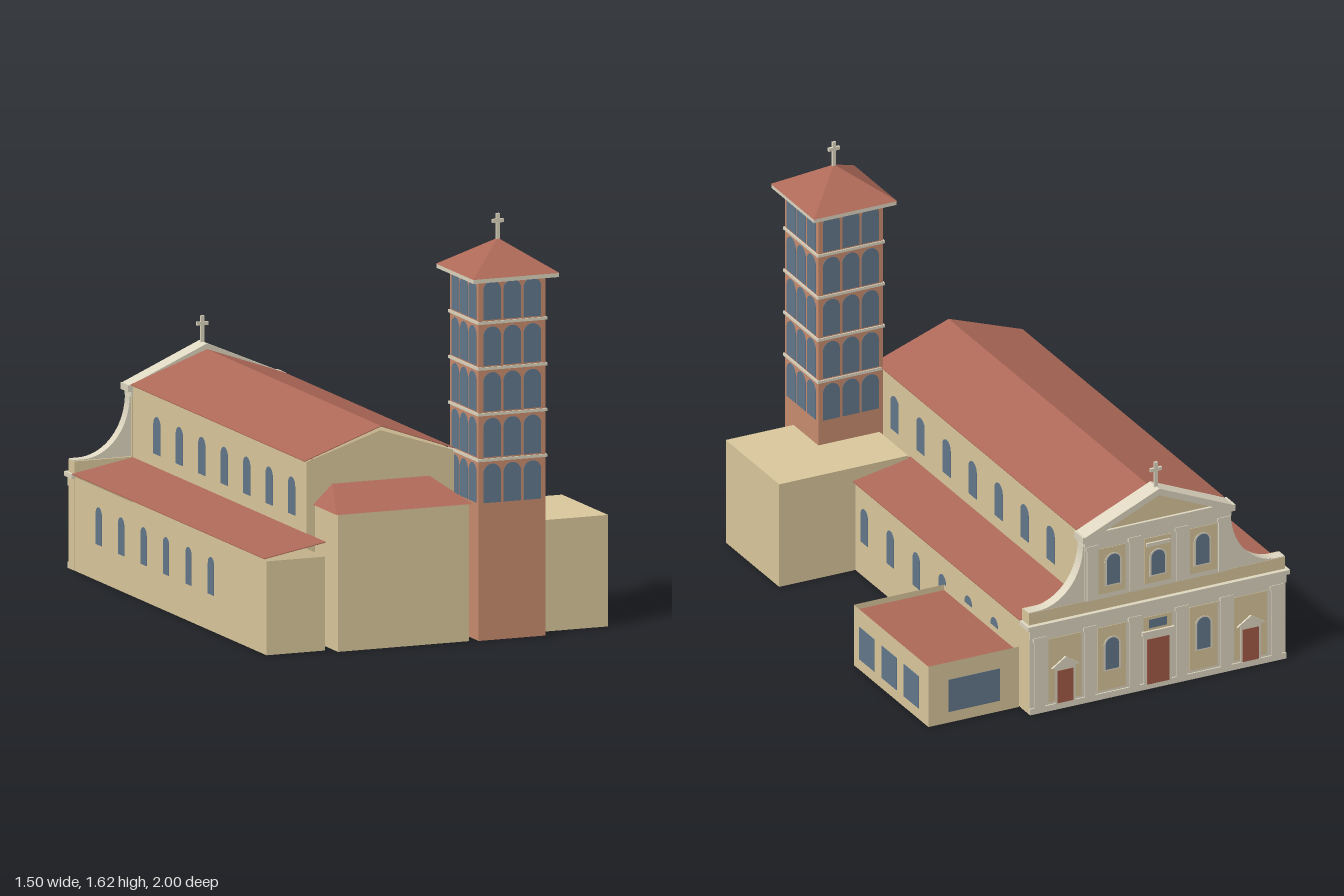
import * as THREE from 'three';

const mat = (name, color, side = THREE.FrontSide) => {
  const m = new THREE.MeshStandardMaterial({ color, side });
  m.name = name;
  return m;
};

export function createModel() {
  const wall = mat('sandWall', 0xdcc99d, THREE.DoubleSide);
  const stone = mat('paleStone', 0xdfd7c1);
  const tile = mat('roofTile', 0xae6958, THREE.DoubleSide);
  const brick = mat('towerBrick', 0xca8e70, THREE.DoubleSide);
  const glass = mat('windowGlass', 0x64798d);
  const wood = mat('doorWood', 0xa55c47);
  const CX = -0.19; // church axis

  const model = new THREE.Group();
  model.name = 'church';
  const group = (name, parent = model) => {
    const g = new THREE.Group();
    g.name = name;
    parent.add(g);
    return g;
  };
  const add = (parent, name, geo, material, x = 0, y = 0, z = 0, ry = 0) => {
    const m = new THREE.Mesh(geo, material);
    m.name = name;
    m.position.set(x, y, z);
    m.rotation.y = ry;
    parent.add(m);
    return m;
  };
  // box from its minimum and maximum corners
  const box = (parent, name, material, x0, x1, y0, y1, z0, z1) =>
    add(parent, name, new THREE.BoxGeometry(x1 - x0, y1 - y0, z1 - z0), material,
      (x0 + x1) / 2, (y0 + y1) / 2, (z0 + z1) / 2);
  // box keeping only some of its faces (0..5 = +x -x +y -y +z -z)
  const shell = (parent, name, material, faces, ...b) => {
    const m = box(parent, name, material, ...b);
    const index = Array.from(m.geometry.index.array);
    m.geometry.setIndex(faces.flatMap((f) => index.slice(f * 6, f * 6 + 6)));
    return m;
  };
  const polygon = (pts) => new THREE.Shape(pts.map(([x, y]) => new THREE.Vector2(x, y)));
  const extrude = (shape, depth) =>
    new THREE.ExtrudeGeometry(shape, { depth, bevelEnabled: false, curveSegments: 12 });
  // profile in x/y running from z0 to z1
  const prism = (parent, name, material, pts, z0, z1) =>
    add(parent, name, extrude(polygon(pts), z1 - z0), material, 0, 0, z0);
  // round-headed plate standing on its origin
  const arch = (w, h, depth = 0.002) => {
    const s = new THREE.Shape();
    s.moveTo(-w / 2, 0);
    s.lineTo(w / 2, 0);
    s.lineTo(w / 2, h - w / 2);
    s.absarc(0, h - w / 2, w / 2, 0, Math.PI, false);
    s.closePath();
    return extrude(s, depth);
  };
  const cross = (parent, x, y, z, h) => {
    const g = group('cross', parent);
    box(g, 'crossPost', stone, x - 0.007, x + 0.007, y, y + h, z - 0.005, z + 0.005);
    box(g, 'crossArm', stone, x - 0.024, x + 0.024, y + h * 0.66, y + h * 0.66 + 0.014, z - 0.005, z + 0.005);
  };

  // Hollow nave with a gable wall and a thin roof
  const nave = group('nave');
  shell(nave, 'naveWalls', wall, [0, 1, 4, 5], CX - 0.305, CX + 0.305, 0, 0.695, -0.93, 0.73);
  add(nave, 'naveGable', new THREE.ShapeGeometry(
    polygon([[CX - 0.305, 0.695], [CX + 0.305, 0.695], [CX, 0.795]])), wall, 0, 0, 0.73);
  prism(nave, 'naveRoof', tile,
    [[CX - 0.315, 0.698], [CX, 0.81], [CX + 0.315, 0.698], [CX + 0.315, 0.701], [CX, 0.813], [CX - 0.315, 0.701]],
    -0.925, 0.735);

  // Side aisles with thin lean-to roofs; the one at -x runs further forward
  for (const [side, front] of [[-1, 0.91], [1, 0.46]]) {
    const g = group(side < 0 ? 'rightAisle' : 'leftAisle');
    const xs = [CX + side * 0.305, CX + side * 0.545].sort((a, b) => a - b);
    shell(g, 'aisleWalls', wall, [0, 1, 4, 5], ...xs, 0, 0.362, -0.93, front - 0.005);
    prism(g, 'aisleRoof', tile, [[0.303, 0.417], [0.557, 0.372], [0.557, 0.375], [0.303, 0.42]]
      .map(([x, y]) => [CX + side * x, y]), -0.925, front);
    for (let i = 0; i < 7; i++) {
      const z = 0.59 - i * 0.2142;
      const ry = side * Math.PI / 2;
      add(g, 'naveWindow', arch(0.066, 0.145), glass, CX + side * 0.305, 0.47, z, ry);
      if (i > 0) add(g, 'aisleWindow', arch(0.056, 0.145), glass, CX + side * 0.545, 0.14, z, ry);
    }
  }

  // Choir block with a hipped roof
  const choir = group('choir');
  shell(choir, 'choirWalls', wall, [0, 1, 4], -0.46, 0.08, 0, 0.53, 0.73, 0.95);
  const hip = new THREE.BoxGeometry(0.56, 0.075, 0.225);
  const hp = hip.attributes.position;
  for (let i = 0; i < hp.count; i++) {
    if (hp.getY(i) > 0) hp.setXYZ(i, Math.sign(hp.getX(i)) * 0.2, 0.0375, hp.getZ(i) > 0 ? -0.11 : -0.1125);
  }
  add(choir, 'choirRoof', hip.toNonIndexed(), tile, CX, 0.5675, 0.8475).geometry.computeVertexNormals();

  // Flat-topped side buildings, open below
  shell(model, 'frontAnnex', wall, [0, 1, 2, 4, 5], 0.13, 0.68, 0, 0.43, 0.45, 0.89);
  const annex = group('sideAnnex');
  shell(annex, 'annexWalls', wall, [0, 1, 4, 5], 0.36, 0.745, 0, 0.253, -0.905, -0.29);
  shell(annex, 'annexRoof', tile, [2], 0.36, 0.745, 0.2, 0.23, -0.905, -0.29);
  for (const z of [-0.4, -0.583, -0.766])
    box(annex, 'annexWindow', glass, 0.744, 0.747, 0.045, 0.18, z - 0.062, z + 0.062);
  box(annex, 'annexEndWindow', glass, 0.44, 0.66, 0.045, 0.18, -0.907, -0.904);

  // Bell tower
  const tower = group('bellTower');
  tower.position.set(0.253, 0, 0.824);
  const H = 0.138;
  shell(tower, 'towerShaft', brick, [0, 1, 2, 4, 5], -H, H, 0, 1.39, -H, H);
  for (let level = 0; level < 5; level++) {
    const y = 0.53 + level * 0.1763;
    if (level < 4) box(tower, 'towerBand', stone, -H - 0.005, H + 0.005, y + 0.16, y + 0.171, -H - 0.005, H + 0.005);
    for (let k = 0; k < 4; k++) {
      const face = group('belfryWindows', tower);
      face.rotation.y = k * Math.PI / 2;
      for (const x of [-0.083, 0, 0.083]) add(face, 'belfryWindow', arch(0.072, 0.15), glass, x, y, H);
    }
  }
  box(tower, 'towerCornice', stone, -0.176, 0.176, 1.386, 1.402, -0.176, 0.176);
  const cone = new THREE.ConeGeometry(0.178 * Math.SQRT2, 0.118, 4).toNonIndexed();
  cone.computeVertexNormals();
  add(tower, 'towerRoof', cone, tile, 0, 1.461, 0, Math.PI / 4);
  cross(tower, 0, 1.51, 0, 0.105);

  // Ornate entrance front, built facing local +z and turned to the rear
  const facade = group('entranceFront');
  facade.position.set(CX, 0, -0.925);
  facade.rotation.y = Math.PI;
  const F = 0.06; // wall face
  const sym = (name, m, w, y0, y1, z0, z1) => box(facade, name, m, -w, w, y0, y1, z0, z1);
  shell(facade, 'lowerBody', wall, [0, 1, 2, 4, 5], -0.546, 0.546, 0, 0.422, 0, F - 0.004);
  sym('lowerFacing', stone, 0.546, 0, 0.355, F - 0.004, F);
  sym('plinth', stone, 0.546, 0, 0.025, F, 0.066);
  sym('lowerFrieze', stone, 0.546, 0.318, 0.355, F, 0.066);
  sym('lowerCornice', stone, 0.558, 0.355, 0.373, 0, 0.075);
  sym('upperBody', wall, 0.309, 0.42, 0.66, 0, F - 0.004);
  sym('upperFacing', stone, 0.309, 0.42, 0.66, F - 0.004, F);
  sym('upperFrieze', stone, 0.312, 0.65, 0.675, 0, 0.066);
  sym('upperCornice', stone, 0.325, 0.672, 0.698, 0, 0.075);

  // Pediment with raised rim and sand-coloured field
  const triangle = (w, y0, y1) => [[-w, y0], [w, y0], [0, y1]];
  prism(facade, 'pediment', stone, triangle(0.322, 0.695, 0.835), 0, 0.06);
  const rim = polygon(triangle(0.322, 0.695, 0.835));
  rim.holes.push(polygon(triangle(0.23, 0.708, 0.808)));
  add(facade, 'pedimentRim', extrude(rim, 0.015), stone, 0, 0, 0.06);
  prism(facade, 'pedimentField', wall, triangle(0.23, 0.708, 0.808), 0.06, 0.063);
  cross(facade, 0, 0.825, 0.045, 0.11);

  // Concave side scrolls
  const scroll = new THREE.Shape();
  scroll.moveTo(0.305, 0.42);
  scroll.lineTo(0.546, 0.42);
  scroll.lineTo(0.546, 0.425);
  scroll.lineTo(0.51, 0.425);
  scroll.absellipse(0.51, 0.655, 0.195, 0.23, -Math.PI / 2, -Math.PI, true);
  scroll.lineTo(0.305, 0.655);
  const scrollGeo = extrude(scroll, 0.045);
  add(facade, 'sideScroll', scrollGeo, stone, 0, 0, 0.01);
  add(facade, 'sideScroll', scrollGeo, stone, 0, 0, 0.055, Math.PI);

  // Pilasters and bays
  const pilaster = (x, y0, y1) => {
    box(facade, 'pilaster', stone, x - 0.022, x + 0.022, y0, y1, F, 0.067);
    box(facade, 'pilasterCap', stone, x - 0.027, x + 0.027, y1 - 0.018, y1, F, 0.069);
  };
  for (const s of [-1, 1]) {
    for (const x of [0.1, 0.29, 0.505]) pilaster(s * x, 0.02, 0.318);
    for (const x of [0.1, 0.28]) pilaster(s * x, 0.425, 0.652);
  }
  const plate = (name, m, x, w, y0, y1, z = F, d = 0.002) => box(facade, name, m, x - w / 2, x + w / 2, y0, y1, z, z + d);
  for (const x of [-0.395, -0.195, 0, 0.195, 0.395]) {
    plate('lowerPanel', wall, x, Math.abs(x) > 0.3 ? 0.14 : 0.12, 0.035, 0.3);
    if (Math.abs(x) < 0.3) plate('upperPanel', wall, x, 0.115, 0.44, 0.63);
  }
  const archedWindow = (x, y, h) => {
    add(facade, 'windowFrame', arch(0.074, h + 0.011, 0.004), stone, x, y - 0.006, F);
    add(facade, 'frontWindow', arch(0.056, h), glass, x, y, F + 0.004);
  };
  for (const s of [-1, 1]) {
    archedWindow(s * 0.195, 0.12, 0.13);
    archedWindow(s * 0.19, 0.475, 0.125);
    // pedimented side doors
    plate('doorFrame', stone, s * 0.395, 0.088, 0.025, 0.172, F, 0.004);
    plate('sideDoor', wood, s * 0.395, 0.068, 0.025, 0.16, F + 0.004);
    prism(facade, 'doorHood', stone, triangle(0.06, 0.175, 0.215), F, 0.07).position.x = s * 0.395;
  }
  archedWindow(0, 0.475, 0.1);
  plate('windowHood', stone, 0, 0.1, 0.597, 0.612, F, 0.01);
  plate('mainDoorFrame', stone, 0, 0.12, 0.02, 0.225, F, 0.005);
  plate('mainDoor', wood, 0, 0.094, 0.02, 0.208, F + 0.005);
  plate('mainDoorHood', stone, 0, 0.135, 0.225, 0.243, F, 0.012);
  plate('mainDoorLight', glass, 0, 0.075, 0.253, 0.288, F + 0.002);

  return model;
}
